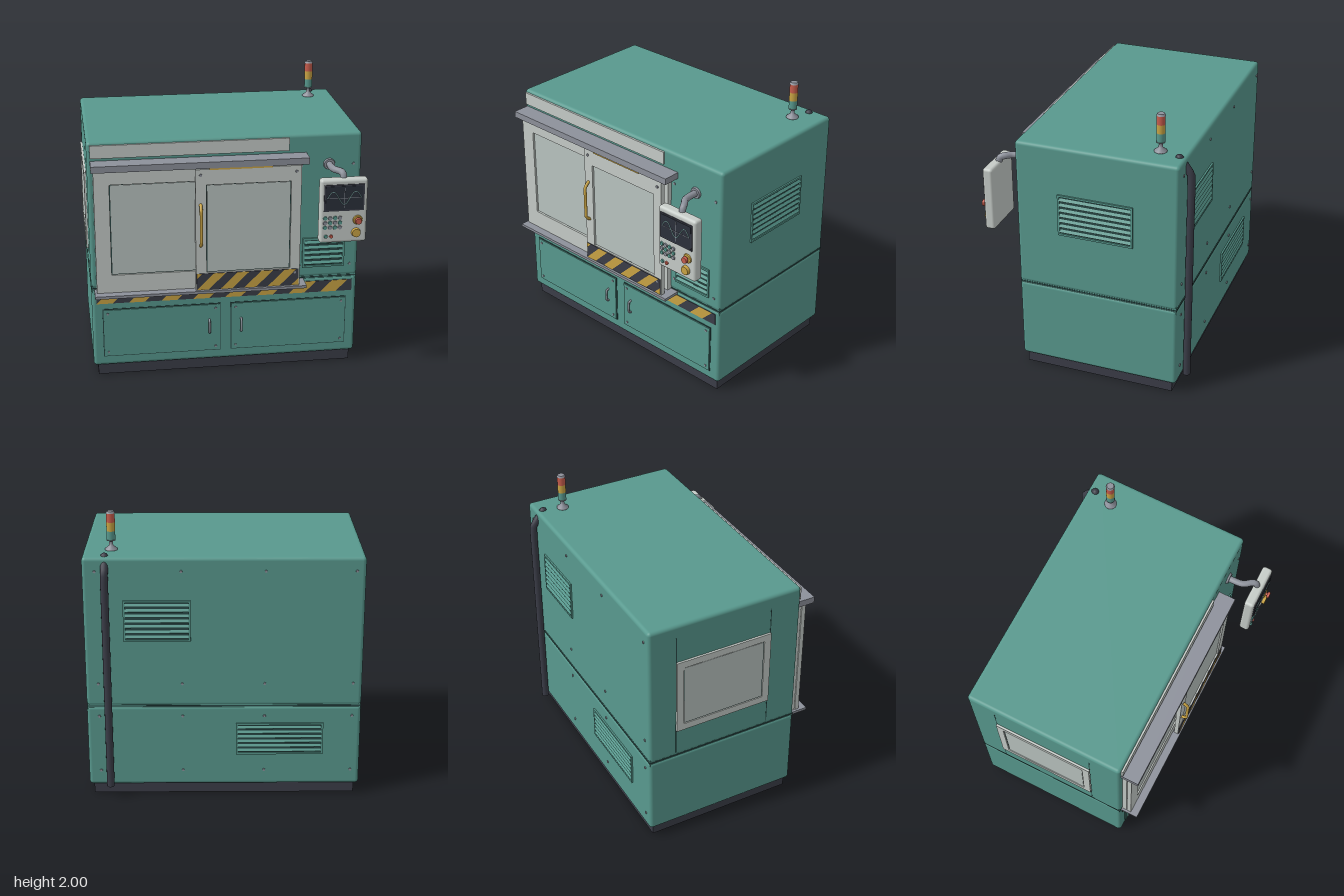
import * as THREE from 'three';
import { RoundedBoxGeometry } from 'three/addons/geometries/RoundedBoxGeometry.js';

const mat = (name, color, side = THREE.FrontSide) => {
  const m = new THREE.MeshStandardMaterial({ color, side });
  m.name = name;
  return m;
};

export function createModel() {
  const root = new THREE.Group();
  root.name = 'machineTool';
  const teal = mat('teal', 0x58998e);
  const seam = mat('seamDark', 0x2a4846);
  const light = mat('lightGrey', 0xc6ccc8);
  const pane = mat('paneGrey', 0xbac4c1);
  const steel = mat('steel', 0x8d919b);
  const dark = mat('charcoal', 0x3b3d48);
  const yellow = mat('yellow', 0xcaa444);
  const red = mat('red', 0xc65c4c);
  const screen = mat('screen', 0x2b303b);
  const trace = mat('trace', 0x8fc4c0);

  const add = (name, geo, m, x = 0, y = 0, z = 0, parent = root) => {
    const mesh = new THREE.Mesh(geo, m);
    mesh.name = name;
    mesh.position.set(x, y, z);
    parent.add(mesh);
    return mesh;
  };
  // Box given by its limits
  const box = (name, m, x0, x1, y0, y1, z0, z1, parent = root, r = 0) => {
    const s = [x1 - x0, y1 - y0, z1 - z0];
    const geo = r ? new RoundedBoxGeometry(...s, 4, r) : new THREE.BoxGeometry(...s);
    return add(name, geo, m, (x0 + x1) / 2, (y0 + y1) / 2, (z0 + z1) / 2, parent);
  };
  // Disc or button with its axis along z, starting at z
  const knob = (name, m, x, y, z, r, d, parent = root, seg = 20) => {
    const mesh = add(name, new THREE.CylinderGeometry(r * 0.88, r, d, seg), m, x, y, z + d / 2, parent);
    mesh.rotation.x = Math.PI / 2;
    return mesh;
  };
  const tube = (name, m, pts, r, curvy = 0.5, parent = root) => {
    const c = new THREE.CatmullRomCurve3(pts.map(p => new THREE.Vector3(...p)), false, 'catmullrom', curvy);
    return add(name, new THREE.TubeGeometry(c, 48, r, 12), m, 0, 0, 0, parent);
  };
  const group = (name, x = 0, y = 0, z = 0, ry = 0, parent = root) => {
    const g = new THREE.Group();
    g.name = name;
    g.position.set(x, y, z);
    g.rotation.y = ry;
    parent.add(g);
    return g;
  };
  // Extruded rectangle with a rectangular hole
  const frame = (name, m, o, h, z, depth, parent = root) => {
    const rect = (P, [x0, x1, y0, y1]) => {
      const p = new P();
      p.moveTo(x0, y0); p.lineTo(x1, y0); p.lineTo(x1, y1); p.lineTo(x0, y1); p.closePath();
      return p;
    };
    const s = rect(THREE.Shape, o);
    s.holes.push(rect(THREE.Path, h));
    return add(name, new THREE.ExtrudeGeometry(s, { depth, bevelEnabled: false }), m, 0, 0, z, parent);
  };
  // Recessed pane inside a frame, with a dark gasket line
  const framedPane = (name, o, h, z, depth, parent = root) => {
    const g = group(name, 0, 0, 0, 0, parent), t = 0.006;
    frame(name + 'Frame', light, o, h, z, depth, g);
    box(name + 'Gasket', seam, ...h, z + 0.004, z + depth * 0.5, g);
    box(name + 'Pane', pane, h[0] + t, h[1] - t, h[2] + t, h[3] - t, z + 0.006, z + depth * 0.7, g);
  };
  // Louvred vent facing +z before it is turned
  const vent = (name, w, h, n, x, y, z, ry) => {
    const g = group(name, x, y, z, ry), b = 0.014;
    frame(name + 'Frame', teal, [-w / 2, w / 2, -h / 2, h / 2], [-w / 2 + b, w / 2 - b, -h / 2 + b, h / 2 - b], 0, 0.012, g);
    box(name + 'Back', seam, -w / 2 + b, w / 2 - b, -h / 2 + b, h / 2 - b, 0, 0.003, g);
    const pitch = (h - 2 * b) / n;
    for (let i = 0; i < n; i++) {
      const s = add('slat', new THREE.BoxGeometry(w - 2 * b, pitch * 0.55, 0.004), teal, 0, -h / 2 + b + (i + 0.5) * pitch, 0.009, g);
      s.rotation.x = -0.6;
    }
  };
  const screws = (name, pts, z, ry = 0) => {
    const g = group(name, 0, 0, 0, ry);
    for (const [x, y] of pts) knob('screw', steel, x, y, z, 0.01, 0.007, g, 10);
  };
  // Hazard strip: dark plate with slanted yellow stripes clipped to its ends
  const hazard = (name, x0, x1, y0, y1, z, pitch) => {
    const g = group(name), h = y1 - y0;
    box('hazardPlate', dark, x0, x1, y0, y1, z, z + 0.005, g);
    const clip = (poly, lim, sgn) => poly.flatMap((a, i) => {
      const b = poly[(i + 1) % poly.length], out = [];
      const da = sgn * (a[0] - lim), db = sgn * (b[0] - lim);
      if (da >= 0) out.push(a);
      if (da * db < 0) {
        const t = da / (da - db);
        out.push([a[0] + t * (b[0] - a[0]), a[1] + t * (b[1] - a[1])]);
      }
      return out;
    });
    for (let x = x0 - pitch; x < x1; x += pitch) {
      let p = [[x, y0], [x + pitch / 2, y0], [x + pitch / 2 + h, y1], [x + h, y1]];
      p = clip(clip(p, x0, 1), x1, -1);
      if (p.length < 3) continue;
      add('hazardStripe', new THREE.ShapeGeometry(new THREE.Shape(p.map(q => new THREE.Vector2(...q)))), yellow, 0, 0, z + 0.0065, g);
    }
  };

  // Plinth and cabinet
  box('plinth', dark, -0.91, 0.905, 0, 0.1, -0.645, 0.425);
  box('lowerCabinet', teal, -0.942, 0.935, 0.08, 0.673, -0.68, 0.452, root, 0.025);
  box('upperCabinet', teal, -0.942, 0.935, 0.677, 1.735, -0.68, 0.452, root, 0.025);
  box('cabinetJoint', teal, -0.936, 0.929, 0.645, 0.705, -0.674, 0.446);
  box('cabinetSeam', seam, -0.939, 0.932, 0.671, 0.679, -0.677, 0.449);

  // Front fascia and rails
  box('fascia', light, -0.92, 0.43, 1.625, 1.715, 0.445, 0.465);
  box('topRail', steel, -0.92, 0.55, 1.56, 1.605, 0.44, 0.575);
  box('bottomRail', steel, -0.92, 0.55, 0.648, 0.668, 0.44, 0.575);

  // Sliding doors
  box('doorBacking', light, -0.905, 0.49, 0.672, 1.55, 0.44, 0.485);
  framedPane('leftDoor', [-0.905, -0.1, 0.67, 1.55], [-0.8, -0.18, 0.8, 1.455], 0.49, 0.03);
  framedPane('rightDoor', [-0.225, 0.5, 0.67, 1.55], [-0.15, 0.43, 0.8, 1.44], 0.53, 0.03);
  box('doorTopStrip', yellow, -0.13, 0.3, 1.547, 1.558, 0.55, 0.568);
  hazard('doorHazard', -0.22, 0.492, 0.675, 0.795, 0.56, 0.165);
  hazard('lowerHazard', -0.91, 0.9, 0.56, 0.645, 0.451, 0.226);
  tube('doorHandle', yellow, [[-0.19, 1.3, 0.555], [-0.19, 1.29, 0.575], [-0.19, 1.26, 0.595], [-0.19, 1.15, 0.595],
    [-0.19, 1.04, 0.595], [-0.19, 1.01, 0.575], [-0.19, 1, 0.555]], 0.011, 0.2);
  screws('doorScrews', [[-0.19, 1.51], [0.465, 1.51], [0.465, 0.77]], 0.56);
  screws('frontScrews', [[0.52, 1.51], [0.88, 1.51], [0.52, 0.765], [0.88, 0.765]], 0.45);

  // Lower access doors
  for (const [x0, x1, hx] of [[-0.87, -0.04, -0.12], [0.033, 0.862, 0.107]]) {
    const g = group('accessDoor');
    box('doorOutline', seam, x0, x1, 0.152, 0.517, 0.44, 0.456, g);
    box('doorPanel', teal, x0 + 0.006, x1 - 0.006, 0.158, 0.511, 0.44, 0.463, g);
    tube('pullHandle', steel, [[hx, 0.395, 0.46], [hx, 0.385, 0.482], [hx, 0.345, 0.486], [hx, 0.305, 0.482], [hx, 0.295, 0.46]], 0.008, 0.3, g);
    for (const x of [x0 + 0.035, x1 - 0.035]) for (const y of [0.187, 0.482]) knob('screw', steel, x, y, 0.462, 0.009, 0.006, g, 10);
  }

  // Vents
  vent('frontVent', 0.3, 0.22, 5, 0.688, 0.865, 0.451, 0);
  vent('sideVent', 0.525, 0.3, 7, 0.934, 1.247, -0.108, Math.PI / 2);
  vent('upperBackVent', 0.45, 0.29, 7, 0.445, 1.295, -0.679, Math.PI);
  vent('lowerBackVent', 0.6, 0.235, 6, -0.385, 0.43, -0.679, Math.PI);
  const backScrews = [];
  for (const x of [-0.85, -0.28, 0.28, 0.88]) for (const y of [1.64, 0.84, 0.6, 0.19]) backScrews.push([x, y]);
  screws('backScrews', backScrews, 0.679, Math.PI);

  // Left side window with panel seams
  const side = group('sideWindow', -0.941, 0, 0, -Math.PI / 2);
  framedPane('sideWindow', [-0.48, 0.225, 0.89, 1.45], [-0.43, 0.175, 0.94, 1.4], 0, 0.016, side);
  for (const x of [-0.48, 0.225]) box('panelSeam', seam, x - 0.003, x + 0.003, 0.7, 1.64, -0.003, 0.002, side);

  // Cable conduit on the back
  tube('conduit', dark, [[0.785, 0.085, -0.712], [0.785, 0.6, -0.712], [0.785, 1.2, -0.712], [0.785, 1.58, -0.712],
    [0.785, 1.64, -0.698], [0.785, 1.73, -0.628]], 0.026, 0.4);
  const foot = add('conduitEnd', new THREE.CircleGeometry(0.026, 12), dark, 0.785, 0.085, -0.712);
  foot.rotation.x = Math.PI / 2;
  add('conduitCap', new THREE.SphereGeometry(0.026, 12, 8), dark, 0.785, 1.728, -0.628);

  // Control panel arm
  knob('armFlange', steel, 0.71, 1.515, 0.448, 0.042, 0.018);
  tube('panelArm', steel, [[0.71, 1.515, 0.44], [0.71, 1.515, 0.52], [0.72, 1.515, 0.57], [0.75, 1.515, 0.61],
    [0.765, 1.505, 0.64], [0.768, 1.46, 0.655]], 0.023);

  // Control panel
  const cp = group('controlPanel');
  box('panelHousing', light, 0.602, 0.927, 1.03, 1.485, 0.628, 0.7, cp, 0.02);
  box('screenBezel', dark, 0.626, 0.902, 1.262, 1.45, 0.695, 0.706, cp);
  box('screenFace', screen, 0.636, 0.892, 1.272, 1.44, 0.7, 0.709, cp);
  box('screenAxis', steel, 0.645, 0.883, 1.354, 1.357, 0.707, 0.711, cp);
  box('screenAxis', steel, 0.763, 0.766, 1.285, 1.428, 0.707, 0.711, cp);
  const wave = [];
  for (let i = 0; i <= 24; i++) {
    const t = i / 24;
    wave.push([0.648 + 0.232 * t, 1.357 + 0.045 * Math.sin(t * Math.PI * 3), 0.71]);
  }
  tube('screenWave', trace, wave, 0.0025, 0.5, cp);
  for (let r = 0; r < 3; r++) for (let c = 0; c < 4; c++)
    knob('key', (r + c) % 2 ? steel : teal, 0.638 + c * 0.034, 1.212 - r * 0.034, 0.698, 0.015, 0.01, cp, 12);
  knob('startButton', teal, 0.645, 1.08, 0.698, 0.013, 0.012, cp, 12);
  knob('haltButton', red, 0.682, 1.08, 0.698, 0.013, 0.012, cp, 12);
  knob('stopRing', yellow, 0.862, 1.192, 0.698, 0.035, 0.01, cp);
  knob('stopStem', red, 0.862, 1.192, 0.705, 0.013, 0.02, cp);
  knob('stopButton', red, 0.862, 1.192, 0.72, 0.024, 0.018, cp);
  knob('dial', yellow, 0.853, 1.102, 0.698, 0.033, 0.024, cp);

  // Signal tower
  const tower = group('signalTower', 0.748, 0, -0.49);
  const profile = [[0, 1.73], [0.042, 1.73], [0.042, 1.742], [0.014, 1.765], [0.012, 1.795], [0.03, 1.8], [0.03, 1.806], [0, 1.806]];
  add('towerBase', new THREE.LatheGeometry(profile.map(p => new THREE.Vector2(...p)), 24), steel, 0, 0, 0, tower);
  [teal, yellow, red].forEach((m, i) =>
    add('signalLamp', new THREE.CylinderGeometry(0.029, 0.029, 0.061, 24), m, 0, 1.8345 + i * 0.061, 0, tower));
  add('towerCap', new THREE.CylinderGeometry(0.024, 0.031, 0.013, 24), steel, 0, 1.9935, 0, tower);

  return root;
}
